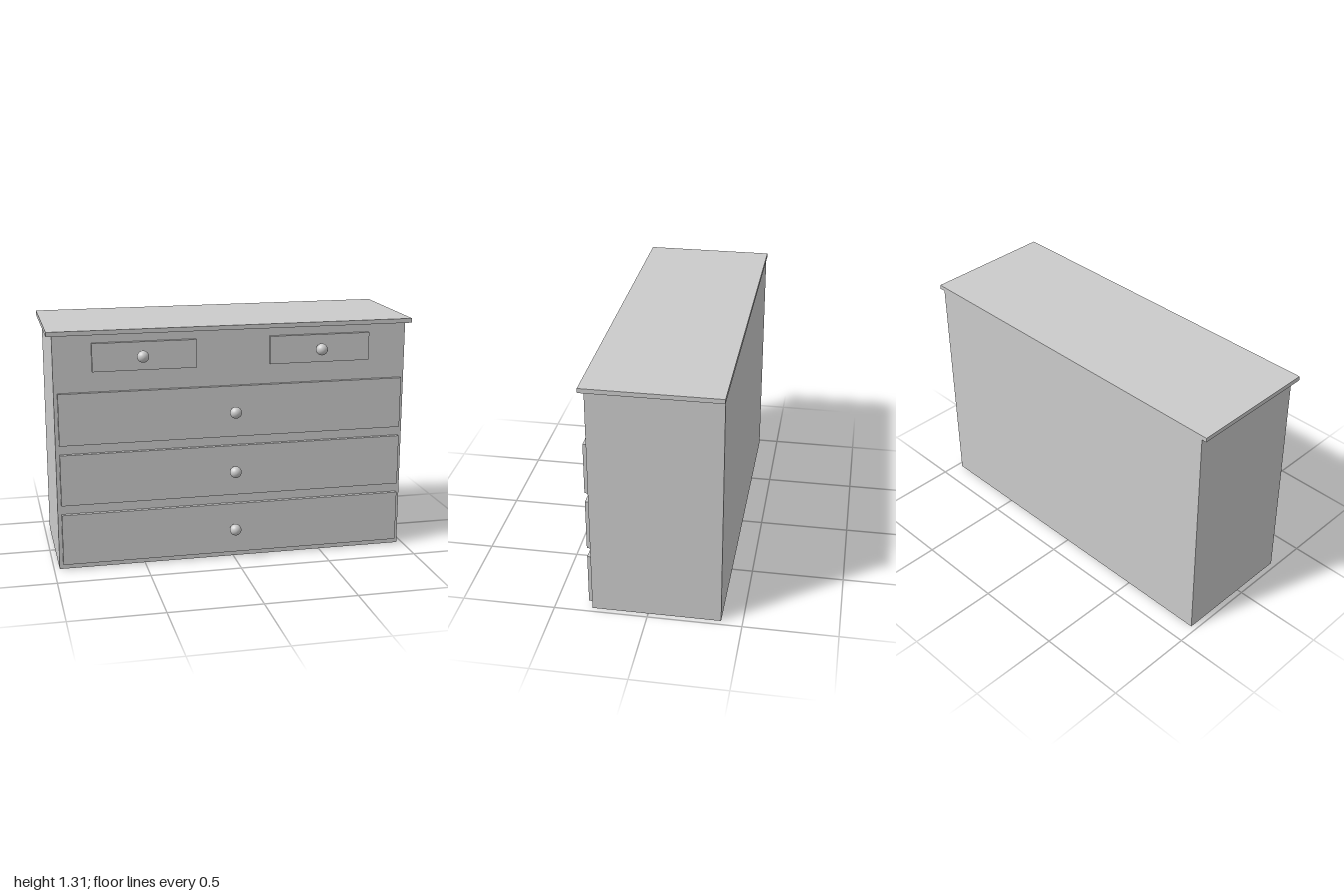
import * as THREE from 'three';

const material = new THREE.MeshStandardMaterial({ color: 0xcccccc });

// Box given by its limits on each axis
function addBox(parent, name, [x0, x1], [y0, y1], [z0, z1]) {
  const mesh = new THREE.Mesh(new THREE.BoxGeometry(x1 - x0, y1 - y0, z1 - z0), material);
  mesh.name = name;
  mesh.position.set((x0 + x1) / 2, (y0 + y1) / 2, (z0 + z1) / 2);
  parent.add(mesh);
}

// Turned knob: flared neck running into a round ball, axis along +z
function makeKnobGeometry() {
  const radius = 0.032, centre = 0.038;
  const profile = [[0.021, -0.004], [0.019, 0.002], [0.016, 0.006]].map(p => new THREE.Vector2(...p));
  const steps = 14, start = Math.PI / 6;
  for (let i = 0; i <= steps; i++) {
    const a = start + (Math.PI - start) * i / steps;
    profile.push(new THREE.Vector2(Math.max(0, radius * Math.sin(a)), centre - radius * Math.cos(a)));
  }
  return new THREE.LatheGeometry(profile, 24).rotateX(Math.PI / 2);
}

export function createModel() {
  const model = new THREE.Group();
  model.name = 'chestOfDrawers';
  const bodyFront = 0.3, drawerFront = 0.322;

  // Carcass and overhanging top
  addBox(model, 'body', [-0.97, 0.97], [0, 1.29], [-0.387, bodyFront]);
  addBox(model, 'top', [-1, 1], [1.288, 1.312], [-0.39, 0.325]);

  // Drawer fronts, each with one knob: x limits, y limits, knob x, knob y
  const drawers = [
    ['bottomDrawer', [-0.95, 0.95], [0.03, 0.312], 0, 0.172],
    ['middleDrawer', [-0.95, 0.95], [0.365, 0.646], 0, 0.505],
    ['upperDrawer', [-0.95, 0.95], [0.698, 0.98], 0, 0.84],
    ['smallRightDrawer', [-0.765, -0.207], [1.091, 1.243], -0.5, 1.17],
    ['smallLeftDrawer', [0.198, 0.756], [1.091, 1.243], 0.476, 1.167],
  ];
  const knobGeometry = makeKnobGeometry();
  for (const [name, xs, ys, kx, ky] of drawers) {
    const drawer = new THREE.Group();
    drawer.name = name;
    addBox(drawer, 'drawerFront', xs, ys, [bodyFront - 0.005, drawerFront]);
    const knob = new THREE.Mesh(knobGeometry, material);
    knob.name = 'knob';
    knob.position.set(kx, ky, drawerFront - 0.002);
    drawer.add(knob);
    model.add(drawer);
  }
  return model;
}
